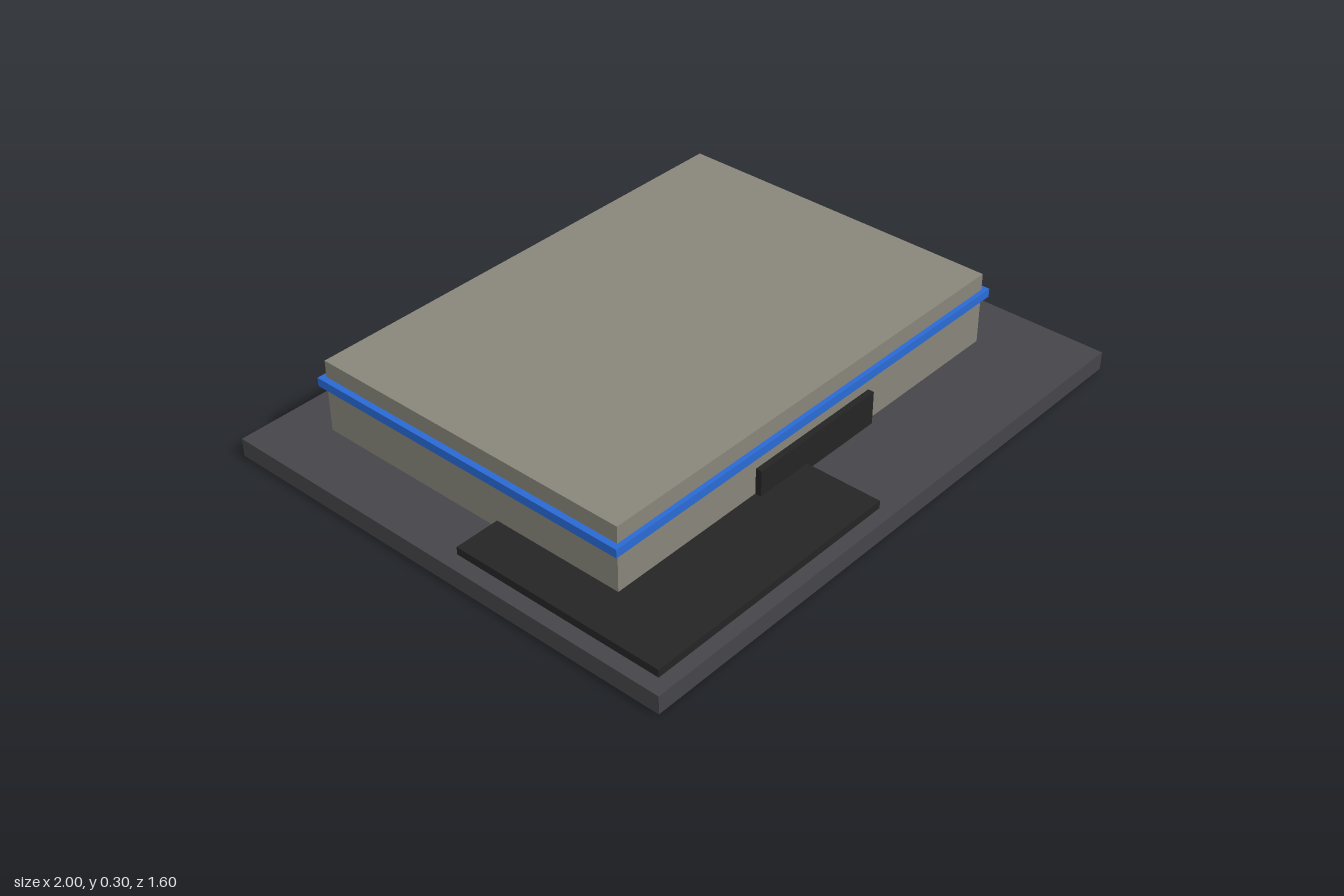
import * as THREE from 'three';

const flat = (name, color) => {
  const m = new THREE.MeshStandardMaterial({ color });
  m.name = name;
  return m;
};

export function createModel() {
  const asphalt = flat('asphalt grey', 0x45454a);
  const wall = flat('warm grey wall', 0x88867a);
  const blue = flat('blue trim', 0x2a6ad4);
  const dark = flat('near black', 0x242424);

  const model = new THREE.Group();
  model.name = 'building';

  // Box given by its minimum and maximum corners
  const box = (name, material, [x0, y0, z0], [x1, y1, z1]) => {
    const mesh = new THREE.Mesh(new THREE.BoxGeometry(x1 - x0, y1 - y0, z1 - z0), material);
    mesh.position.set((x0 + x1) / 2, (y0 + y1) / 2, (z0 + z1) / 2);
    mesh.name = name;
    model.add(mesh);
  };

  // Ground plot and paved parking area
  box('groundSlab', asphalt, [-1, 0, -0.8], [1, 0.06, 0.8]);
  box('parkingArea', dark, [-0.95, 0.06, 0.035], [-0.05, 0.085, 0.755]);

  // Main hall with the trim band running round it
  box('mainHall', wall, [-0.8, 0.06, -0.64], [0.8, 0.3, 0.48]);
  box('trimBand', blue, [-0.82, 0.217, -0.655], [0.82, 0.245, 0.495]);

  // Entrance on the front wall
  box('entrance', dark, [-0.25, 0.06, 0.46], [0.25, 0.17, 0.5]);

  return model;
}
